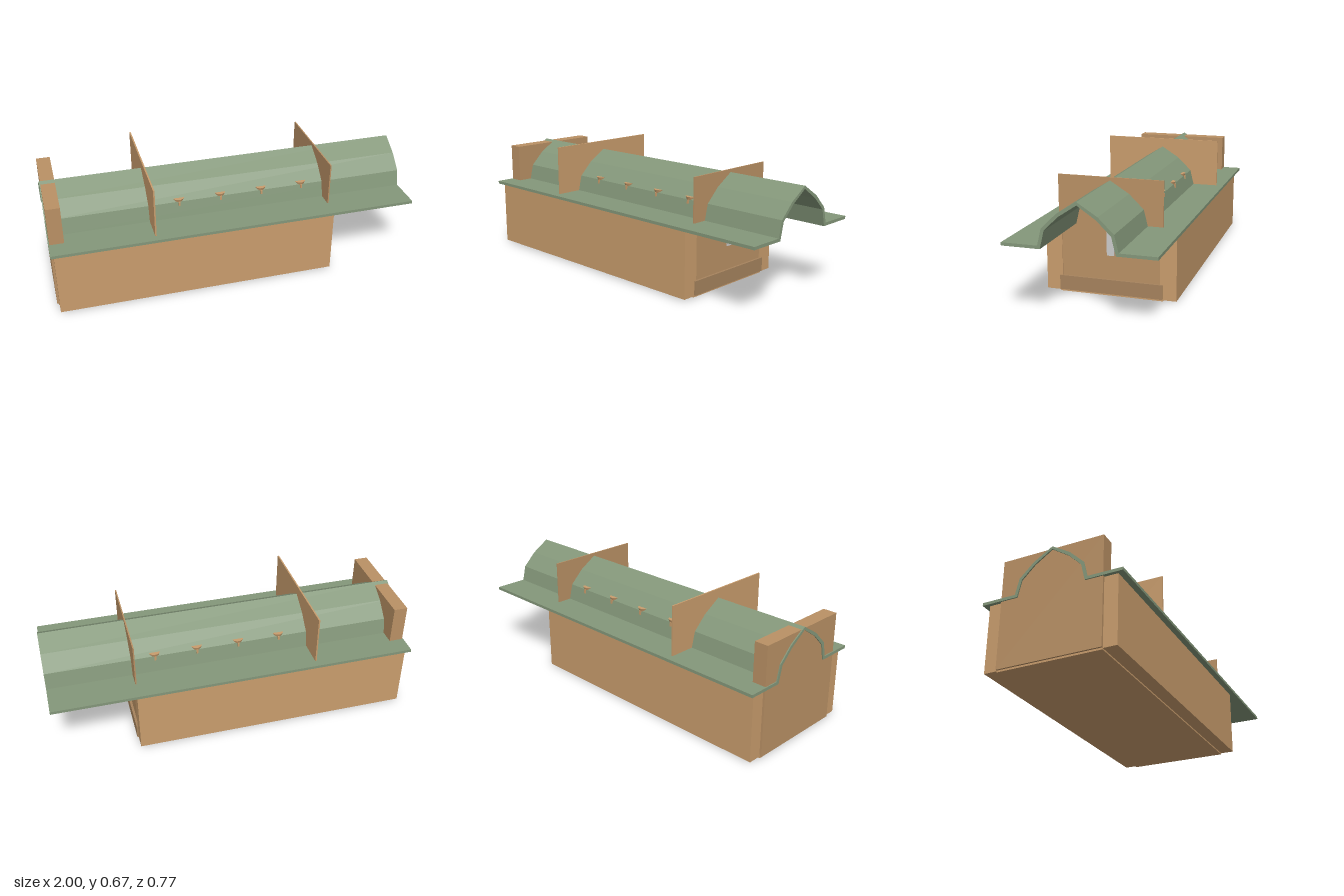
import * as THREE from 'three';

const material = (color) => new THREE.MeshStandardMaterial({ color, flatShading: true });

export function createModel() {
  const model = new THREE.Group();
  const wood = material(0xc99d6d);
  const panelWood = material(0xba9165);
  const darkWood = material(0xa6835d);
  const green = material(0x84977a);
  const grey = material(0xcccccc);

  const add = (name, geometry, mat, parent = model) => {
    const mesh = new THREE.Mesh(geometry, mat);
    mesh.name = name;
    parent.add(mesh);
    return mesh;
  };
  // Box given by its limits on each axis
  const box = (name, mat, [x0, x1], [y0, y1], [z0, z1], parent) => {
    const mesh = add(name, new THREE.BoxGeometry(x1 - x0, y1 - y0, z1 - z0), mat, parent);
    mesh.position.set((x0 + x1) / 2, (y0 + y1) / 2, (z0 + z1) / 2);
    return mesh;
  };
  // Outline of [z, y] points, extruded along x
  const extrudeX = (name, points, x0, x1, mat) => {
    const shape = new THREE.Shape(points.map(([z, y]) => new THREE.Vector2(-z, y)));
    const geometry = new THREE.ExtrudeGeometry(shape, { depth: x1 - x0, bevelEnabled: false });
    geometry.rotateY(Math.PI / 2);
    geometry.translate(x0, 0, 0);
    return add(name, geometry, mat);
  };
  // Mirror half an outline that ends on the centre line
  const mirrored = (half) => [...half, ...half.slice(0, -1).reverse().map(([z, y]) => [-z, y])];

  // Ridged roof sheet with flat eaves
  const outer = mirrored([[0.385, 0.393], [0.199, 0.393], [0.178, 0.478], [0.101, 0.553], [0, 0.616]]);
  const inner = mirrored([[0.385, 0.377], [0.186, 0.377], [0.164, 0.468], [0.093, 0.538], [0, 0.6]]);
  extrudeX('roof', [...outer, ...inner.reverse()], -1, 1, green);

  // Floor and long side walls
  box('floor', wood, [-0.985, 0.542], [0, 0.02], [-0.28, 0.28]);
  for (const side of [-1, 1]) {
    const wall = box('sideWall', wood, [-0.982, 0.546], [0.008, 0.378], [-0.044, 0.044]);
    wall.position.z = side * 0.309;
  }

  // Cross walls rising through the roof
  box('backWall', panelWood, [-0.994, -0.918], [0.01, 0.605], [-0.28, 0.28]);
  box('partition', wood, [-0.454, -0.446], [0.01, 0.666], [-0.343, 0.343]);
  box('endWall', panelWood, [0.534, 0.541], [0.003, 0.632], [-0.281, 0.281]);
  box('endSill', darkWood, [0.541, 0.554], [0.012, 0.09], [-0.279, 0.279]);

  // Narrow pointed window
  const pane = mirrored([[0.02, 0.219], [0.02, 0.478], [0.012, 0.495], [0, 0.508]]);
  extrudeX('window', pane, 0.53, 0.545, grey);

  // Small half-round brackets on both roof slopes
  for (const side of [-1, 1]) {
    for (const x of [-0.285, -0.054, 0.178, 0.41]) {
      const bracket = new THREE.Group();
      bracket.name = 'bracket';
      const shelf = add('bracketShelf',
        new THREE.CylinderGeometry(0.03, 0.024, 0.016, 10, 1, false, -Math.PI / 2, Math.PI), wood, bracket);
      shelf.position.set(0, 0.485, 0.159);
      shelf.scale.z = 0.9;
      box('bracketStem', wood, [-0.005, 0.005], [0.457, 0.479], [0.168, 0.187], bracket);
      bracket.position.x = x;
      if (side < 0) bracket.rotation.y = Math.PI;
      model.add(bracket);
    }
  }
  return model;
}
